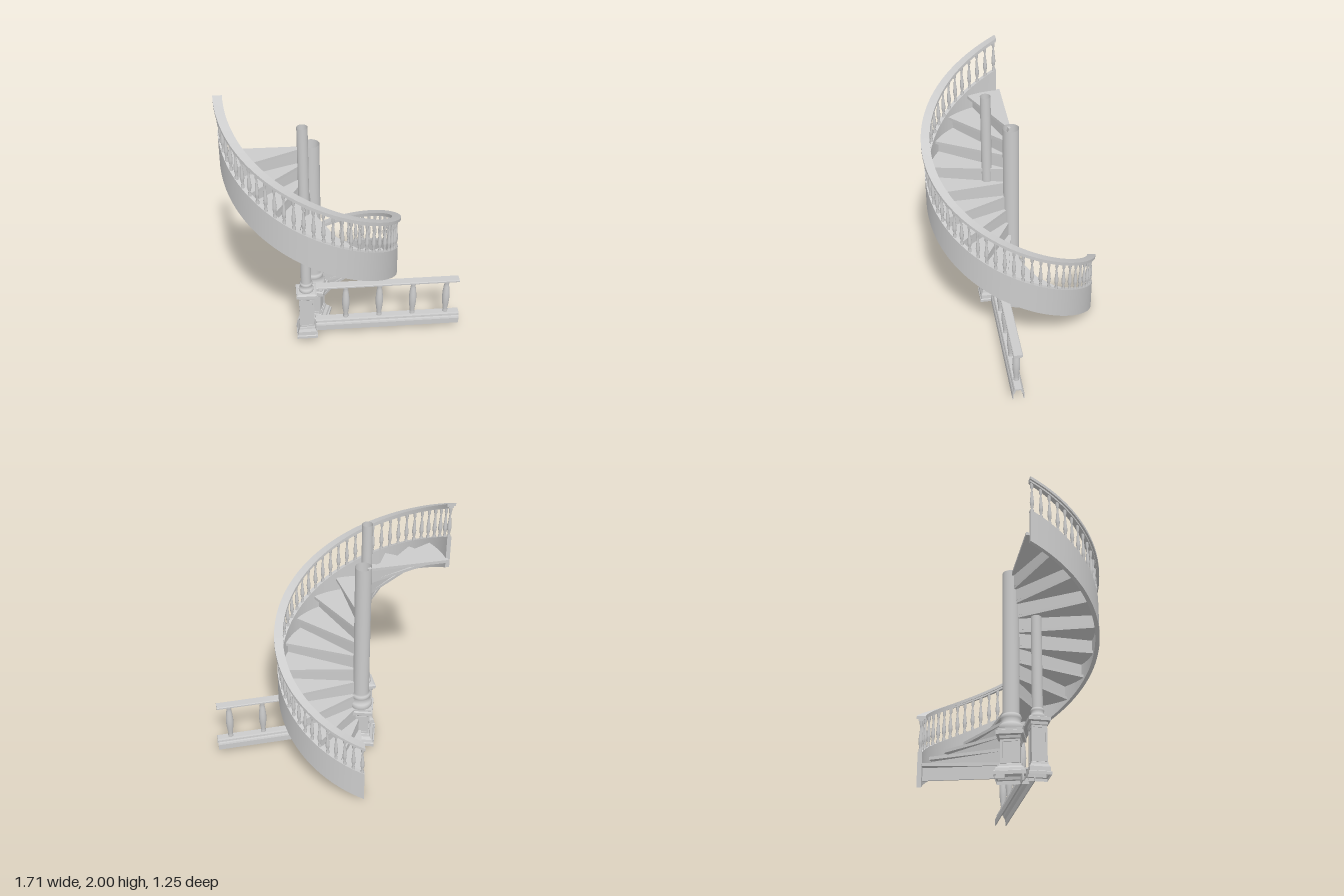
import * as THREE from 'three';

const CX = -0.228;                       // axis of the spiral
const DEG = Math.PI / 180;
const A0 = -78.8, A1 = 178, RISE = 1.495; // start and end angle, climb of the stringer
const climb = (a) => RISE * (a - A0) / (A1 - A0);

const mat = new THREE.MeshStandardMaterial({ color: 0xcccccc, side: THREE.DoubleSide });
const flatMat = new THREE.MeshStandardMaterial({ color: 0xcccccc, side: THREE.DoubleSide, flatShading: true });

function add(parent, name, geo, material = mat) {
  const m = new THREE.Mesh(geo, material);
  m.name = name;
  parent.add(m);
  return m;
}

const vecs = (pts) => pts.map(([r, y]) => new THREE.Vector2(r, y));

// A box bent round the spiral axis; yOf gives its underside at each angle
function bentBox(rIn, rOut, a0, a1, height, yOf, n) {
  const g = new THREE.BoxGeometry(1, 1, 1, n, 1, 1);
  const p = g.attributes.position;
  for (let i = 0; i < p.count; i++) {
    const deg = a1 + (a0 - a1) * (p.getX(i) + 0.5);
    const r = rIn + (rOut - rIn) * (p.getZ(i) + 0.5);
    const y = yOf(deg) + height * (p.getY(i) + 0.5);
    p.setXYZ(i, r * Math.cos(deg * DEG), y, r * Math.sin(deg * DEG));
  }
  g.computeVertexNormals();
  return g;
}

// Square pedestal from [halfWidth, y] pairs, with framed panels on its four sides
function pedestal(name, profile, half, y0, y1) {
  const group = new THREE.Group();
  group.name = name;
  const body = new THREE.LatheGeometry(vecs(profile.map(([w, y]) => [w * Math.SQRT2, y])), 4);
  body.rotateY(Math.PI / 4);
  add(group, 'pedestalBody', body, flatMat);
  const frame = new THREE.Shape(vecs([[-half, y0], [half, y0], [half, y1], [-half, y1]]));
  const b = 0.014;
  frame.holes.push(new THREE.Path(vecs([
    [-half + b, y0 + b], [-half + b, y1 - b], [half - b, y1 - b], [half - b, y0 + b]])));
  const frameGeo = new THREE.ExtrudeGeometry(frame, { depth: 0.006, bevelEnabled: false });
  frameGeo.translate(0, 0, half - 0.006);
  for (let i = 0; i < 4; i++) add(group, 'panelFrame', frameGeo).rotation.y = i * Math.PI / 2;
  return group;
}

// Round column with ring mouldings at its foot, open at the top
function column(name, r, y0, y1) {
  const k = r / 0.058;
  const foot = [[1.4, 0], [1.45, 0.012], [1.45, 0.028], [1.35, 0.042], [1.18, 0.05], [1.12, 0.075],
    [1.22, 0.085], [1.24, 0.1], [1.15, 0.112], [1, 0.122]].map(([f, h]) => [r * f, y0 + h * k]);
  const geo = new THREE.LatheGeometry(vecs([...foot, [r, y1]]), 32);
  const m = new THREE.Mesh(geo, mat);
  m.name = name;
  return m;
}

// Straight moulding of a closed section, run along x
function runAlongX(section, x0, x1) {
  const g = new THREE.ExtrudeGeometry(new THREE.Shape(vecs(section)), { depth: x1 - x0, bevelEnabled: false });
  g.rotateY(Math.PI / 2);
  g.translate(x0, 0, 0);
  return g;
}

function buildStair() {
  const stair = new THREE.Group();
  stair.name = 'spiralStair';
  stair.position.x = CX;

  // outer stringer and handrail
  add(stair, 'stringer', bentBox(0.585, 0.615, A0, A1, 0.245, climb, 80));
  add(stair, 'handrail', bentBox(0.568, 0.63, A0, A1, 0.022, (a) => climb(a) + 0.48, 80));
  add(stair, 'handrailUnderside', bentBox(0.582, 0.616, A0, A1, 0.014, (a) => climb(a) + 0.467, 80));

  // treads overlap the one below; each stands on a riser set back from its nose
  const count = 14, step = 18, rise = 1.4 / 13, thick = 0.022;
  for (let i = 0; i < count; i++) {
    const a = -78.5 + i * step, top = 0.17 + i * rise;
    add(stair, 'tread', bentBox(0.03, 0.598, a, a + 25, thick, () => top - thick, 6));
    const h = rise - thick + 0.002;
    const riserGeo = new THREE.BoxGeometry(0.55, h, 0.01);
    riserGeo.translate(0.315, top - thick - h / 2, 0);
    add(stair, 'riser', riserGeo).rotation.y = -(a + 4.5) * DEG;
  }

  // turned spindles between stringer and handrail
  const spindle = new THREE.LatheGeometry(vecs([[0.012, -0.012], [0.012, 0.02], [0.007, 0.03], [0.013, 0.06],
    [0.015, 0.08], [0.011, 0.12], [0.007, 0.165], [0.006, 0.185], [0.011, 0.2], [0.011, 0.24]]), 10);
  const n = 43;
  for (let i = 0; i < n; i++) {
    const a = A0 + 1.5 + (A1 - A0 - 3) * i / (n - 1);
    add(stair, 'spindle', spindle).position.set(
      0.6 * Math.cos(a * DEG), climb(a) + 0.24, 0.6 * Math.sin(a * DEG));
  }
  return stair;
}

function buildBalustrade() {
  const rail = new THREE.Group();
  rail.name = 'straightBalustrade';
  rail.position.z = 0.122;

  // hollow curb, open below
  const outer = [[0.042, 0.055], [0.042, 0.1], [0.038, 0.112], [0.032, 0.12], [0.03, 0.135], [0.024, 0.145]];
  const inner = [[0.016, 0.135], [0.022, 0.118], [0.034, 0.1], [0.036, 0.055]];
  const mirror = (pts) => pts.map(([x, y]) => [-x, y]).reverse();
  add(rail, 'curb', runAlongX([...outer, ...mirror(outer), ...mirror(inner), ...inner], -0.22, 0.85));

  // handrail
  const right = [[0.02, 0.43], [0.026, 0.436], [0.033, 0.438], [0.033, 0.448], [0.028, 0.453]];
  add(rail, 'straightHandrail', runAlongX([...right, ...mirror(right)], -0.215, 0.84));

  // vase-shaped balusters
  const geo = new THREE.LatheGeometry(vecs([[0.019, 0.14], [0.019, 0.165], [0.016, 0.17], [0.022, 0.21],
    [0.027, 0.255], [0.028, 0.29], [0.026, 0.33], [0.02, 0.385], [0.016, 0.405], [0.02, 0.412], [0.02, 0.435]]), 16);
  for (let i = 0; i < 4; i++) add(rail, 'baluster', geo).position.x = 0.003 + i * 0.249;
  return rail;
}

export function createModel() {
  const model = new THREE.Group();
  model.name = 'spiralStaircase';
  model.add(buildStair(), buildBalustrade());

  // central newel, turned to follow the stair
  const newel = new THREE.Group();
  newel.name = 'centralNewel';
  newel.position.set(-0.225, 0, 0.003);
  newel.rotation.y = -17 * DEG;
  newel.add(pedestal('newelPedestal', [[0.108, 0.055], [0.108, 0.08], [0.1, 0.085], [0.094, 0.105], [0.075, 0.122],
    [0.07, 0.14], [0.06, 0.145], [0.06, 0.31], [0.068, 0.318], [0.072, 0.335], [0.092, 0.34], [0.092, 0.366],
    [0.08, 0.372], [0.08, 0.385], [0, 0.385]], 0.066, 0.145, 0.31));
  newel.add(column('newelColumn', 0.058, 0.385, 1.59));
  model.add(newel);

  // front post at the end of the straight balustrade
  const post = new THREE.Group();
  post.name = 'frontPost';
  post.position.set(-0.289, 0, 0.17);
  post.add(pedestal('postPedestal', [[0.076, 0.055], [0.076, 0.075], [0.07, 0.08], [0.068, 0.11], [0.058, 0.13],
    [0.055, 0.145], [0.048, 0.15], [0.048, 0.395], [0.056, 0.405], [0.058, 0.425], [0.074, 0.43], [0.074, 0.453],
    [0.06, 0.46], [0, 0.46]], 0.053, 0.148, 0.4));
  post.add(column('postColumn', 0.037, 0.46, 1.82));
  model.add(post);
  return model;
}
